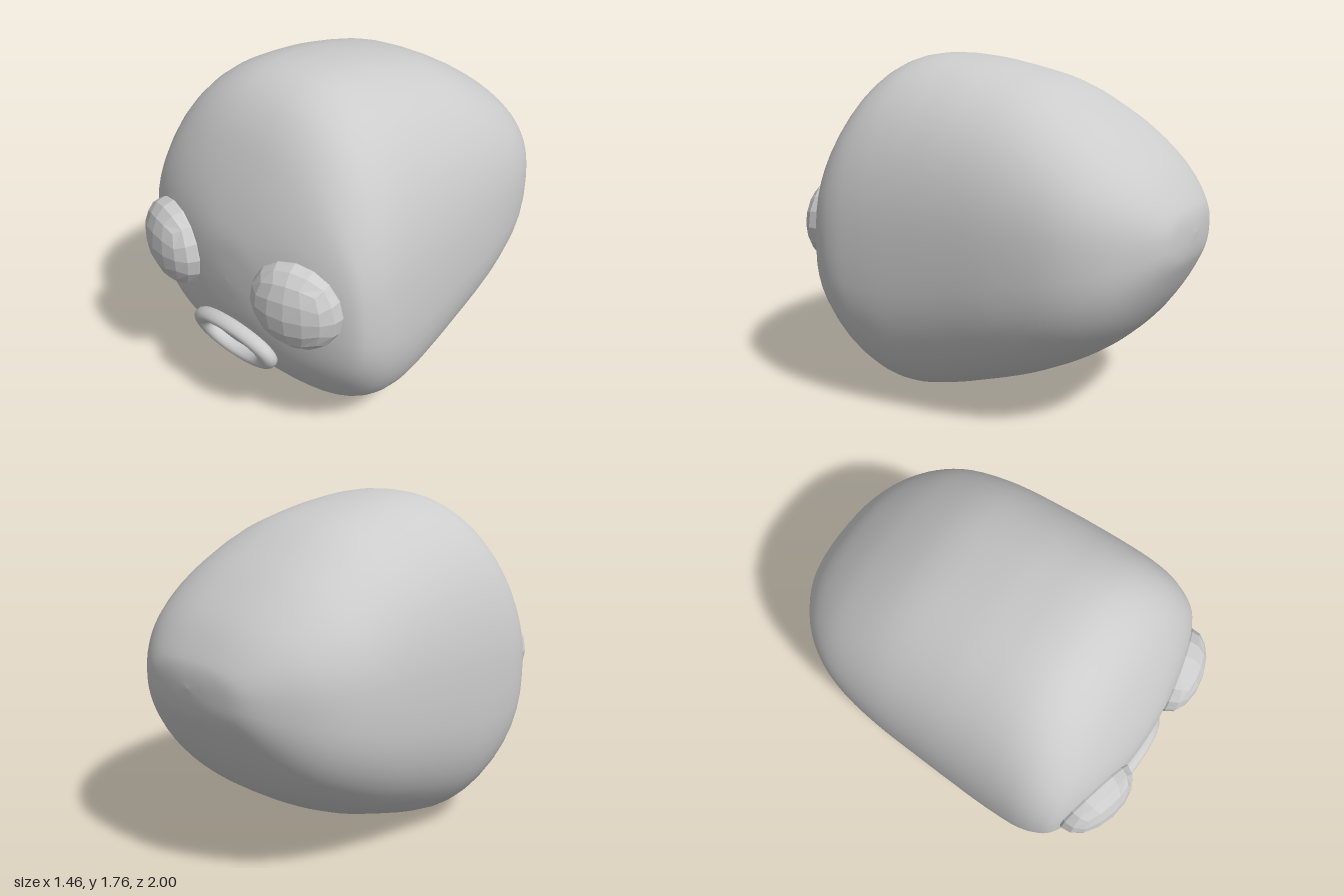
import * as THREE from 'three';

const skin = new THREE.MeshStandardMaterial({ color: 0xcccccc });
skin.name = 'plain grey';
const facetedSkin = skin.clone();
facetedSkin.flatShading = true;

// Body cross-sections, back to front: z, bottom, top, half width, height of widest point
const SECTIONS = [
  [-1, 0.97, 0.97, 0, 0.97],
  [-0.99, 0.87, 1.05, 0.16, 0.96],
  [-0.96, 0.785, 1.12, 0.315, 0.95],
  [-0.87, 0.62, 1.25, 0.46, 0.94],
  [-0.74, 0.455, 1.375, 0.585, 0.93],
  [-0.56, 0.32, 1.51, 0.67, 0.91],
  [-0.3, 0.19, 1.65, 0.71, 0.87],
  [0, 0.085, 1.728, 0.722, 0.83],
  [0.2, 0.028, 1.757, 0.727, 0.8],
  [0.35, 0.005, 1.765, 0.73, 0.78],
  [0.48, 0.03, 1.745, 0.73, 0.78],
  [0.6, 0.11, 1.68, 0.725, 0.78],
  [0.7, 0.225, 1.57, 0.7, 0.79],
  [0.78, 0.335, 1.43, 0.645, 0.81],
  [0.85, 0.455, 1.27, 0.49, 0.83],
  [0.9, 0.64, 1.11, 0.25, 0.86],
  [0.915, 0.78, 0.98, 0.11, 0.87],
  [0.92, 0.87, 0.87, 0, 0.87],
];

function spline(pick) {
  return new THREE.CatmullRomCurve3(SECTIONS.map(pick), false, 'catmullrom', 0.5);
}

// Rounded body lofted through superelliptic sections
function bodyGeometry(rings = 68, sides = 56) {
  const outline = spline((s) => new THREE.Vector3(s[0], s[1], s[2]));
  const girth = spline((s) => new THREE.Vector3(s[3], s[4], 0));
  const power = (v, n) => Math.sign(v) * Math.abs(v) ** (2 / n);
  const positions = [];
  const index = [];
  for (let i = 0; i <= rings; i++) {
    const { x: z, y: bottom, z: top } = outline.getPoint(i / rings);
    const { x: halfWidth, y: middle } = girth.getPoint(i / rings);
    for (let j = 0; j < sides; j++) {
      const a = (j / sides) * Math.PI * 2;
      const n = Math.sin(a) > 0 ? 2.35 : 2.55;
      const reach = Math.sin(a) > 0 ? top - middle : middle - bottom;
      positions.push(halfWidth * power(Math.cos(a), n), middle + reach * power(Math.sin(a), n), z);
      if (i === rings) continue;
      const next = (j + 1) % sides;
      const p = i * sides + j, q = i * sides + next;
      index.push(p, q, q + sides, p, q + sides, p + sides);
    }
  }
  const geometry = new THREE.BufferGeometry();
  geometry.setAttribute('position', new THREE.Float32BufferAttribute(positions, 3));
  geometry.setIndex(index);
  geometry.computeVertexNormals();
  return geometry;
}

// Unit ball made from a subdivided cube
function cubeBallGeometry(segments = 4) {
  const geometry = new THREE.BoxGeometry(2, 2, 2, segments, segments, segments);
  const position = geometry.attributes.position;
  const even = (c) => Math.tan((c * Math.PI) / 4);
  const v = new THREE.Vector3();
  for (let i = 0; i < position.count; i++) {
    v.fromBufferAttribute(position, i);
    v.set(even(v.x), even(v.y), even(v.z)).normalize();
    position.setXYZ(i, v.x, v.y, v.z);
  }
  return geometry;
}

export function createModel() {
  const model = new THREE.Group();
  model.name = 'roundHead';

  // Body, leaning very slightly to one side
  const body = new THREE.Mesh(bodyGeometry(), skin);
  body.name = 'body';
  body.rotation.z = 0.018;
  body.position.x = 0.015;
  model.add(body);

  // Flattened faceted eyes, turned slightly outward
  for (const side of [-1, 1]) {
    const eye = new THREE.Mesh(cubeBallGeometry(), facetedSkin);
    eye.name = side > 0 ? 'leftEye' : 'rightEye';
    eye.scale.set(0.228, 0.222, 0.13);
    eye.position.set(side * 0.4 - 0.008, 0.89, 0.862);
    eye.rotation.y = side * 0.25;
    model.add(eye);
  }

  // Oval ring mouth, tipped to follow the chin
  const mouth = new THREE.Mesh(new THREE.TorusGeometry(0.2185, 0.0535, 14, 48), skin);
  mouth.name = 'mouth';
  mouth.scale.set(1, 0.53, 0.75);
  mouth.position.set(-0.018, 0.5, 0.882);
  mouth.rotation.x = 0.33;
  model.add(mouth);

  return model;
}
